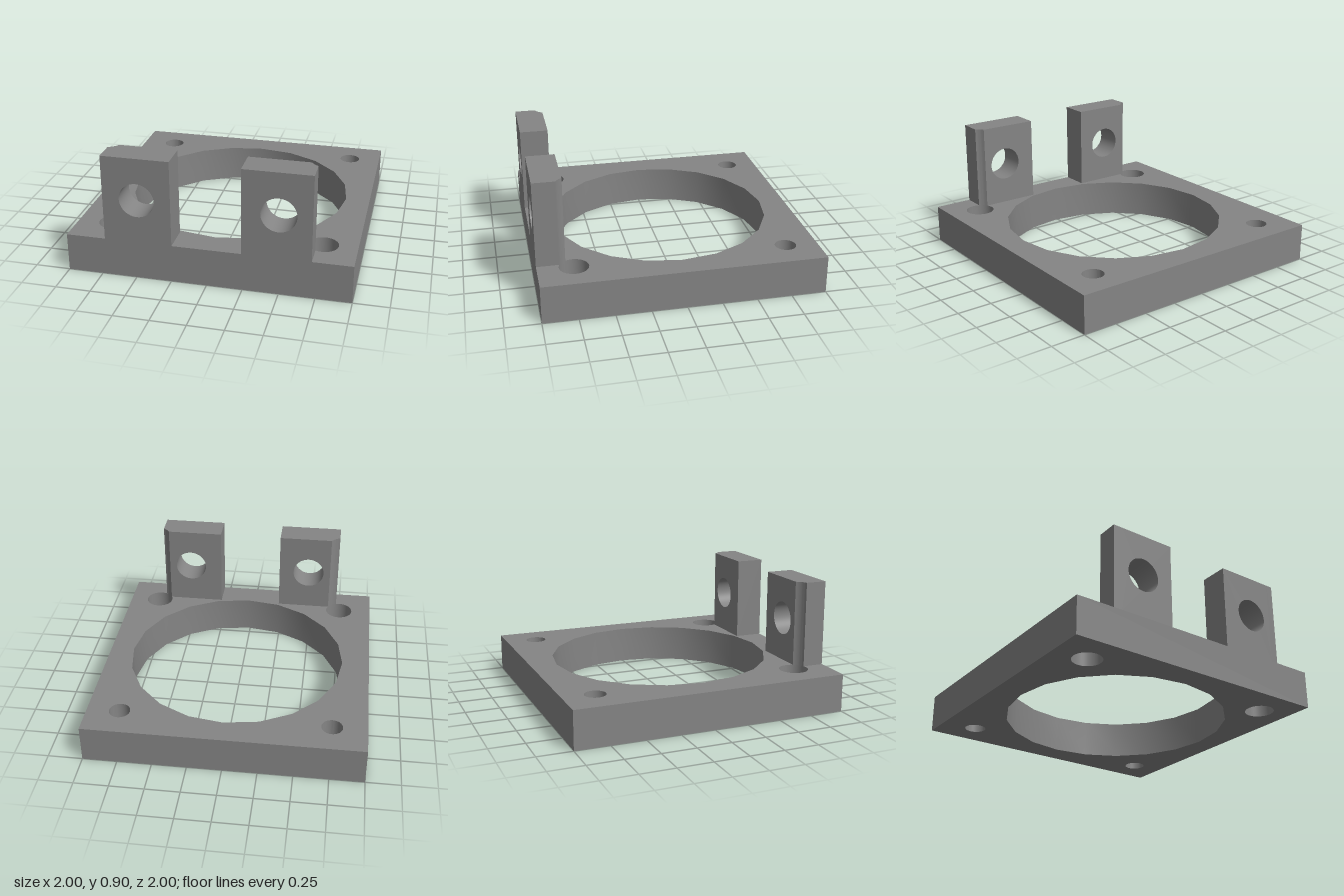
import * as THREE from 'three';
import { toCreasedNormals } from 'three/addons/utils/BufferGeometryUtils.js';

const material = new THREE.MeshStandardMaterial({ color: 0x858585 });
const PLATE_H = 0.276, TOP = 0.898, LUG_BACK = 0.793;

// Closed polygon of n sides
function ring(cx, cy, r, n) {
  const pts = [];
  for (let i = 0; i < n; i++) {
    const a = (i / n) * Math.PI * 2;
    pts.push(new THREE.Vector2(cx + r * Math.cos(a), cy + r * Math.sin(a)));
  }
  return pts;
}

// Extruded outline with holes; hole walls are smooth, other edges sharp
function extrude(points, holes, depth) {
  const shape = new THREE.Shape(points);
  holes.forEach((h) => shape.holes.push(new THREE.Path(h)));
  const geo = new THREE.ExtrudeGeometry(shape, { depth, bevelEnabled: false });
  return toCreasedNormals(geo, 0.4);
}

function rect(x0, y0, x1, y1) {
  return [[x0, y0], [x1, y0], [x1, y1], [x0, y1]].map(([x, y]) => new THREE.Vector2(x, y));
}

function addMesh(parent, name, geometry) {
  const mesh = new THREE.Mesh(geometry, material);
  mesh.name = name;
  parent.add(mesh);
}

// Upright lug with a cross hole; its outer back corner is cut by the bolt hole
function makeLug(side, holeX, bolt) {
  const lug = new THREE.Group();
  lug.name = side > 0 ? 'leftLug' : 'rightLug';
  const outer = side * 0.72, inner = side * 0.242;
  const dz = LUG_BACK - bolt.z;
  const split = bolt.x - side * Math.sqrt(bolt.r ** 2 - dz ** 2);

  const body = extrude(
    rect(Math.min(inner, split), PLATE_H, Math.max(inner, split), TOP),
    [ring(holeX, 0.592, 0.123, 48)], 1 - LUG_BACK);
  body.translate(0, 0, LUG_BACK);
  addMesh(lug, 'lugBody', body);

  // Corner post with the concave relief, drawn in plan (y = -z)
  const pts = [new THREE.Vector2(split, -1), new THREE.Vector2(outer, -1)];
  const steps = 8;
  const a0 = Math.acos((outer - bolt.x) / bolt.r);
  const a1 = Math.acos((split - bolt.x) / bolt.r);
  for (let i = 0; i <= steps; i++) {
    const a = a0 + ((a1 - a0) * i) / steps;
    pts.push(new THREE.Vector2(bolt.x + bolt.r * Math.cos(a), -(bolt.z + bolt.r * Math.sin(a))));
  }
  const post = extrude(pts, [], TOP - PLATE_H);
  post.rotateX(-Math.PI / 2).translate(0, PLATE_H, 0);
  addMesh(lug, 'lugCorner', post);
  return lug;
}

export function createModel() {
  const model = new THREE.Group();
  model.name = 'mountingBracket';
  const bolts = [
    { x: -0.75, z: -0.768, r: 0.076 },
    { x: 0.763, z: -0.768, r: 0.076 },
    { x: -0.747, z: 0.745, r: 0.104 },
    { x: 0.763, z: 0.745, r: 0.104 },
  ];

  // Square plate with central bore and four bolt holes
  const holes = bolts.map((b) => ring(b.x, -b.z, b.r, 48));
  holes.push(ring(0.014, 0, 0.811, 20));
  const plate = extrude(rect(-1, -1, 1, 1), holes, PLATE_H);
  plate.rotateX(-Math.PI / 2);
  addMesh(model, 'basePlate', plate);

  // Pair of lugs along the front edge
  model.add(makeLug(-1, -0.479, bolts[2]), makeLug(1, 0.494, bolts[3]));
  return model;
}
